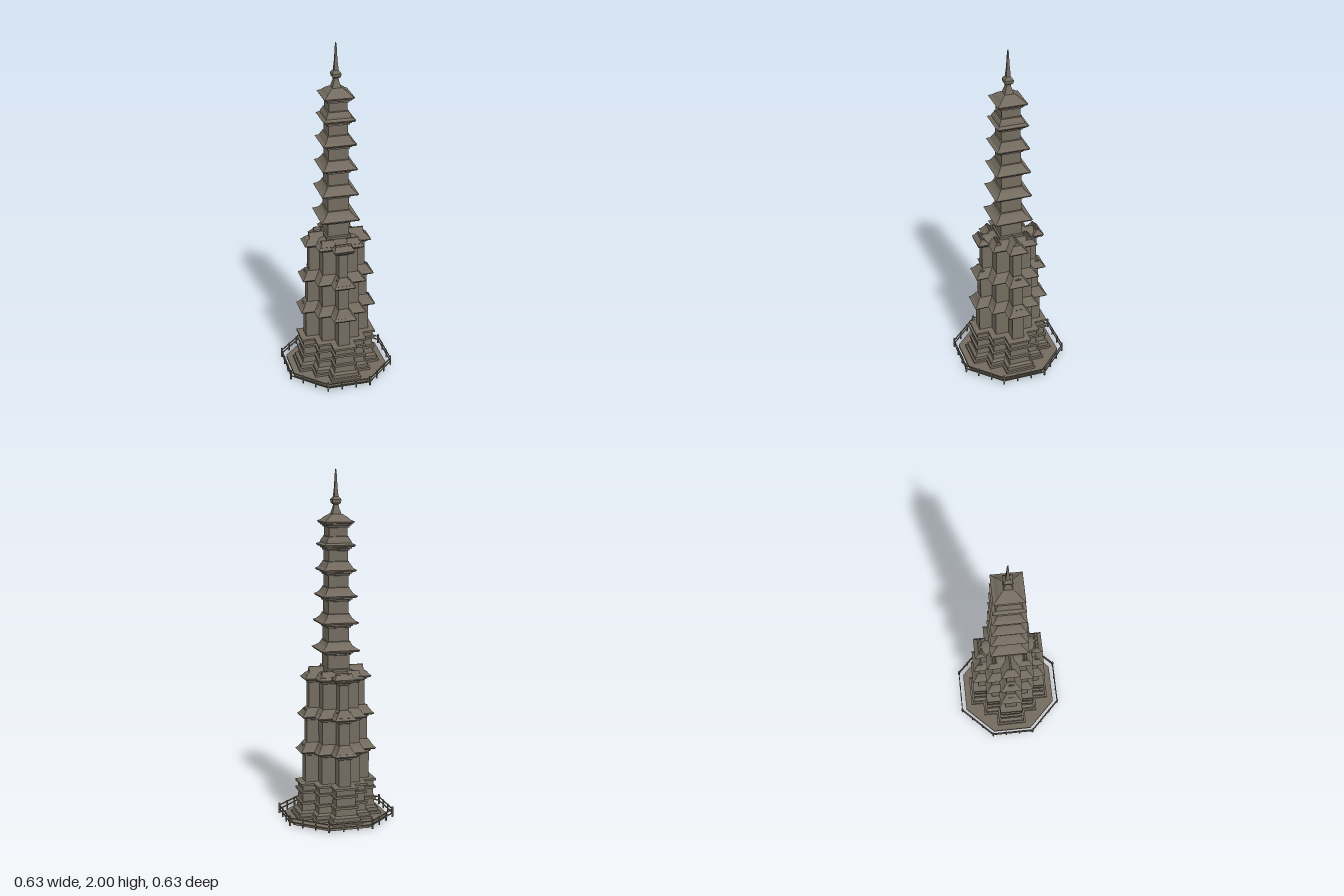
import * as THREE from 'three';

const stone = new THREE.MeshStandardMaterial({ color: 0x736b5f, side: THREE.DoubleSide });
stone.name = 'weathered stone';

// Plan outlines, counter-clockwise as [x, s] with z = -s
const rect = (hx, hz = hx) => [[hx, -hz], [hx, hz], [-hx, hz], [-hx, -hz]];
function cross(a, b, c) {
  const quarter = [[a, c], [b, c], [b, b], [c, b], [c, a]];
  const ring = [];
  for (let k = 0; k < 4; k++) {
    for (const [x, s] of quarter) {
      ring.push([[x, s], [-s, x], [-x, -s], [s, -x]][k]);
    }
  }
  return ring;
}
const octagon = (h, k) => [[h, -k], [h, k], [k, h], [-k, h], [-h, k], [-h, -k], [-k, -h], [k, -h]];

// Flat-faced skin through a stack of [y, outline], with a cap on top
function loft(sections) {
  const pos = [];
  const put = (y, p) => pos.push(p[0], y, -p[1]);
  for (let i = 0; i + 1 < sections.length; i++) {
    const [y0, lo] = sections[i], [y1, hi] = sections[i + 1];
    for (let j = 0; j < lo.length; j++) {
      const n = (j + 1) % lo.length;
      put(y0, lo[j]); put(y0, lo[n]); put(y1, hi[n]);
      put(y0, lo[j]); put(y1, hi[n]); put(y1, hi[j]);
    }
  }
  const [yTop, top] = sections[sections.length - 1];
  const contour = top.map(p => new THREE.Vector2(p[0], p[1]));
  for (const f of THREE.ShapeUtils.triangulateShape(contour, [])) f.forEach(i => put(yTop, top[i]));
  const geo = new THREE.BufferGeometry();
  geo.setAttribute('position', new THREE.Float32BufferAttribute(pos, 3));
  geo.computeVertexNormals();
  return geo;
}

function add(parent, name, geo, x = 0, y = 0, z = 0) {
  const mesh = new THREE.Mesh(geo, stone);
  mesh.name = name;
  mesh.position.set(x, y, z);
  parent.add(mesh);
  return mesh;
}

// Stepped cross-shaped storey: profile rows are [y, outward offset]
function crossTier(parent, name, [a, b, c], profile) {
  add(parent, name, loft(profile.map(([y, d]) => [y, cross(a + d, b + d, c + d)])));
}

// Storey wall with corbels and a concave tiled roof
const storey = (y0, eave, out, top) => [
  [y0, 0], [eave - 0.024, 0], [eave - 0.02, 0.008], [eave - 0.012, 0.008], [eave - 0.01, 0.016],
  [eave - 0.006, out - 0.006], [eave + 0.002, out], [eave + 0.012, out - 0.012],
  [eave + 0.026, out - 0.022], [top, 0],
];

// Small hipped roof with its ridge along x
function ridgeRoof(parent, x, z, hx, hz, y, top, ridge) {
  add(parent, 'ridgeRoof', loft([
    [y - 0.012, rect(hx - 0.008, hz - 0.006)], [y, rect(hx, hz)],
    [y + 0.012, rect(hx - 0.01, hz * 0.62)], [y + 0.026, rect(ridge, hz * 0.3)],
    [top - 0.008, rect(ridge, 0.006)], [top, rect(ridge, 0.004)],
  ]), x, 0, z);
}

export function createModel() {
  const model = new THREE.Group();
  model.name = 'stonePagoda';

  // Octagonal paving, open beneath the hollow base
  const paving = new THREE.Shape(octagon(0.281, 0.116).map(p => new THREE.Vector2(...p)));
  paving.holes.push(new THREE.Path(cross(0.24, 0.163, 0.085).reverse().map(p => new THREE.Vector2(...p))));
  const slab = new THREE.ExtrudeGeometry(paving, { depth: 0.014, bevelEnabled: false });
  slab.rotateX(-Math.PI / 2);
  add(model, 'paving', slab);

  // Three-stage moulded base
  crossTier(model, 'base', [0.19, 0.113, 0.035], [
    [0.012, 0.055], [0.028, 0.055], [0.03, 0.045], [0.05, 0.045], [0.06, 0.028],
    [0.095, 0.024], [0.098, 0.034], [0.112, 0.034], [0.114, 0.022], [0.12, 0.022],
    [0.158, 0.02], [0.162, 0.033], [0.175, 0.033], [0.177, 0.022], [0.206, 0.022],
    [0.208, 0.034], [0.22, 0.034], [0.222, 0],
  ]);

  // Three cross-shaped storeys
  crossTier(model, 'lowerStorey', [0.19, 0.113, 0.035],
    [...storey(0.22, 0.402, 0.034, 0.45), [0.46, -0.01]]);
  crossTier(model, 'middleStorey', [0.179, 0.11, 0.031],
    [...storey(0.44, 0.608, 0.034, 0.65), [0.66, -0.01]]);
  crossTier(model, 'upperStorey', [0.166, 0.104, 0.026],
    [...storey(0.64, 0.826, 0.031, 0.857), [0.862, -0.012]]);

  // Gabled roofs over the arms of each storey
  for (const [eave, ridgeTop, a, b] of [[0.415, 0.437, 0.19, 0.113], [0.622, 0.65, 0.179, 0.11]]) {
    for (const s of [1, -1]) {
      ridgeRoof(model, 0, s * (a - 0.01), 0.045, 0.032, eave, ridgeTop, 0.04);
      ridgeRoof(model, s * (a - 0.03), 0, 0.045, 0.045, eave, ridgeTop, 0.04);
    }
  }
  for (const s of [1, -1]) {
    ridgeRoof(model, 0, s * 0.165, 0.062, 0.034, 0.838, 0.872, 0.046);
    ridgeRoof(model, s * 0.118, 0, 0.052, 0.036, 0.85, 0.89, 0.043);
    for (const t of [1, -1]) ridgeRoof(model, s * 0.075, t * 0.092, 0.045, 0.03, 0.842, 0.872, 0.035);
  }

  // Square tower of six roofed storeys
  add(model, 'towerPlinth', loft([[0.85, rect(0.072)], [0.876, rect(0.072)], [0.88, rect(0.064)]]));
  const eaves = [0.985, 1.142, 1.292, 1.438, 1.577, 1.706];
  let floor = 0.87;
  eaves.forEach((y, i) => {
    const b = 0.063 - i * 0.002, e = 0.112 - i * 0.0052, last = i === 5;
    const rows = [
      [floor, b], [y - 0.03, b], [y - 0.028, b + 0.008], [y - 0.02, b + 0.008],
      [y - 0.016, b + 0.018], [y - 0.009, b + 0.018], [y - 0.006, e - 0.006], [y + 0.004, e],
      [y + 0.014, e - 0.018],
    ];
    if (last) rows.push([y + 0.03, 0.052], [y + 0.045, 0.03]);
    else rows.push([y + 0.028, b + 0.014], [y + 0.045, b + 0.004], [y + 0.05, b + 0.004], [y + 0.052, b - 0.002]);
    add(model, 'towerStorey', loft(rows.map(([h, r]) => [h, rect(r)])));
    floor = y + 0.046;
  });

  // Finial: neck, faceted bulb and spire
  add(model, 'finial', loft([
    [1.745, 0.027], [1.757, 0.024], [1.79, 0.014], [1.803, 0.013], [1.812, 0.023], [1.83, 0.026],
    [1.842, 0.018], [1.848, 0.012], [1.87, 0.011], [1.9, 0.008], [1.985, 0.004], [2, 0.002],
  ].map(([h, r]) => [h, rect(r)])));

  // Railing around the paving
  const fence = new THREE.Group();
  fence.name = 'railing';
  model.add(fence);
  const ring = octagon(0.307, 0.127);
  ring.forEach(([x0, z0], i) => {
    const [x1, z1] = ring[(i + 1) % 8];
    const dx = x1 - x0, dz = z1 - z0, turn = -Math.atan2(dz, dx);
    const corner = add(fence, 'cornerPost', new THREE.BoxGeometry(0.009, 0.06, 0.009), x0, 0.03, z0);
    corner.rotation.y = turn + Math.PI / 8;
    for (const t of [1 / 3, 2 / 3]) {
      const post = add(fence, 'post', new THREE.BoxGeometry(0.007, 0.052, 0.007), x0 + dx * t, 0.026, z0 + dz * t);
      post.rotation.y = turn;
    }
    for (const y of [0.024, 0.046]) {
      const rail = add(fence, 'rail', new THREE.BoxGeometry(Math.hypot(dx, dz), 0.006, 0.005),
        x0 + dx / 2, y, z0 + dz / 2);
      rail.rotation.y = turn;
    }
  });
  return model;
}
